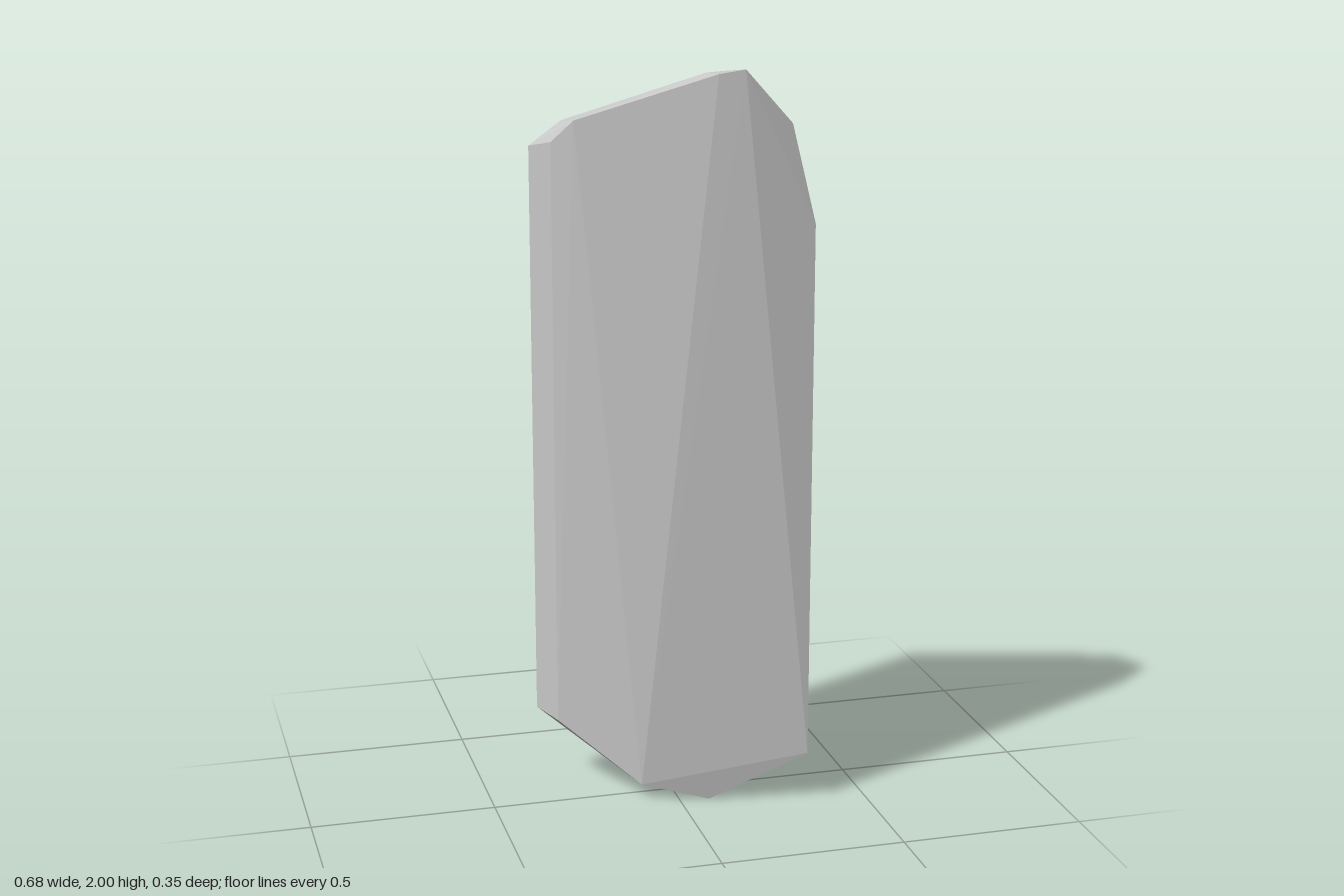
import * as THREE from 'three';
import { ConvexGeometry } from 'three/addons/geometries/ConvexGeometry.js';

// Faceted stone slab: the convex hull of a few corner rings.
export function createModel() {
  const stone = new THREE.MeshStandardMaterial({ color: 0xc7c7c7 });
  stone.name = 'pale stone grey';

  const corners = [
    // top ridge and its chamfers
    [0.155, 2.0, 0.145], [0.09, 1.988, 0.125], [0.13, 1.99, 0.075], [0.075, 1.985, 0.06],
    [0.12, 1.95, 0.045], [-0.25, 1.86, -0.045], [-0.265, 1.85, -0.13],
    // sloping shoulder on the +x side
    [0.28, 1.86, 0.147], [0.25, 1.86, 0.085], [0.341, 1.6, 0.16], [0.312, 1.59, 0.09],
    // thin edge on the -x side
    [-0.342, 1.78, -0.177], [-0.302, 1.8, -0.088], [-0.342, 0.21, -0.177], [-0.302, 0.2, -0.088],
    // bulging back face
    [-0.205, 1.54, -0.155], [-0.155, 1.2, -0.153], [-0.155, 0.8, -0.153], [-0.205, 0.42, -0.155],
    [0.25, 1.46, 0.055], [0.235, 0.55, 0.042],
    // lower +x corner
    [0.336, 0.14, 0.176], [0.312, 0.15, 0.11],
    // pointed foot
    [0.08, 0, 0.095], [0.0, 0.015, 0.05], [-0.01, 0.04, 0], [-0.1, 0.045, 0.055], [-0.13, 0.05, -0.055],
  ].map((p) => new THREE.Vector3(...p));

  const slab = new THREE.Mesh(new ConvexGeometry(corners), stone);
  slab.name = 'stoneSlab';

  const group = new THREE.Group();
  group.name = 'stone';
  group.add(slab);
  return group;
}
